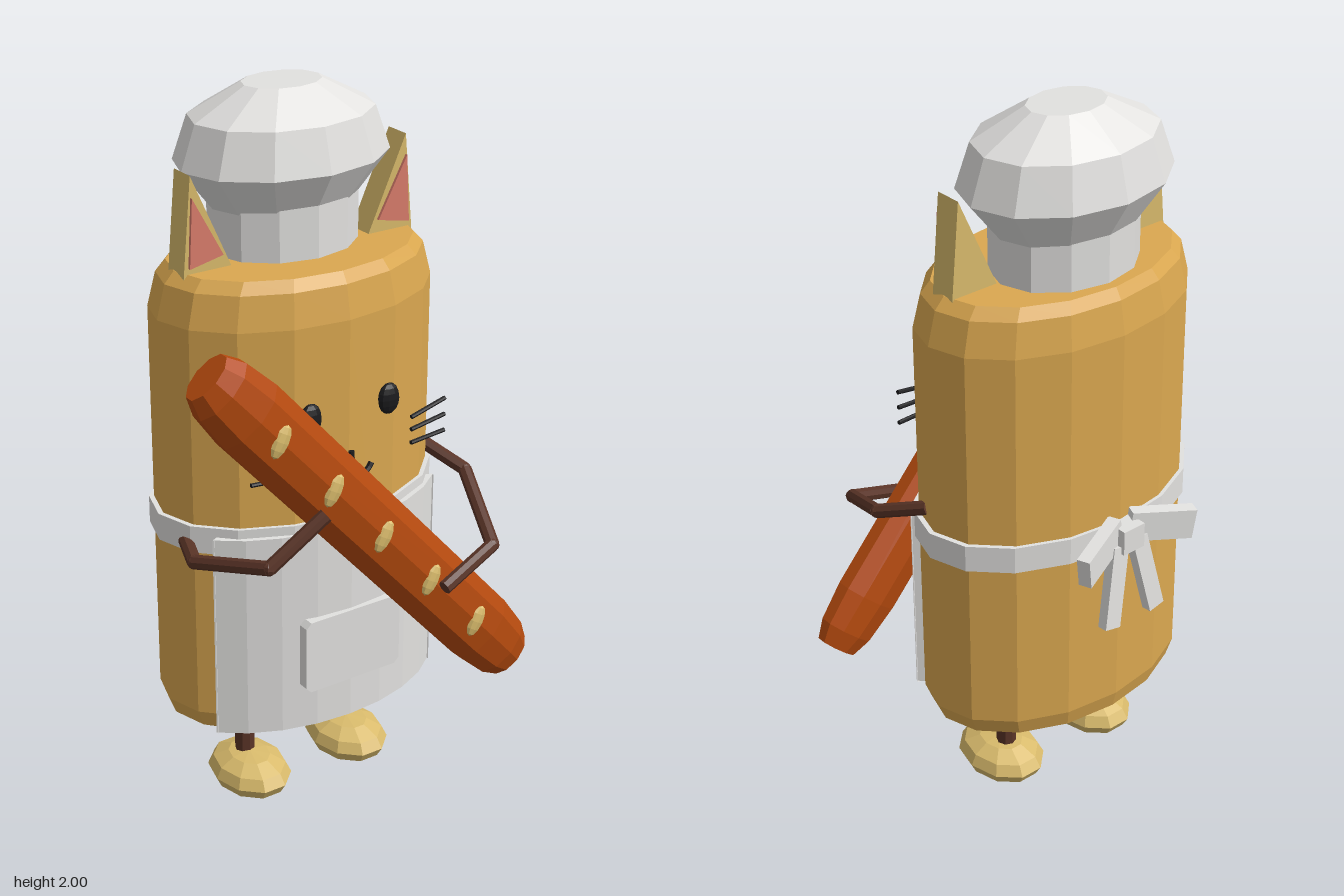
import * as THREE from 'three';

const paint = (name, color, side = THREE.FrontSide) => {
  const m = new THREE.MeshStandardMaterial({ color, flatShading: true, side });
  m.name = name;
  return m;
};

export function createModel() {
  const fur = paint('golden fur', 0xdba850);
  const pale = paint('pale tan', 0xd9bb6c);
  const pink = paint('inner ear pink', 0xd97c6c);
  const white = paint('cloth white', 0xe2e1df, THREE.DoubleSide);
  const crust = paint('bread crust', 0xb54a0e);
  const brown = paint('limb brown', 0x5a3427);
  const black = paint('face black', 0x1b1b1d);

  const model = new THREE.Group();
  model.name = 'chefCat';
  const V = (x, y, z) => new THREE.Vector3(x, y, z);

  function add(name, geo, mat, pos = [0, 0, 0], rot = [0, 0, 0], parent = model) {
    const mesh = new THREE.Mesh(geo, mat);
    mesh.name = name;
    mesh.position.set(...pos);
    mesh.rotation.set(...rot);
    parent.add(mesh);
    return mesh;
  }
  // Oval lathe: profile radii are multiplied by sx and sz
  function oval(profile, sx, sz, sides, start = 0, sweep = Math.PI * 2) {
    const pts = profile.map(([r, y]) => new THREE.Vector2(r, y));
    return new THREE.LatheGeometry(pts, sides, start, sweep).scale(sx, 1, sz);
  }
  const ball = (rx, ry, rz, w = 10, h = 8) => new THREE.SphereGeometry(1, w, h).scale(rx, ry, rz);
  // Straight rod between two points
  function rod(name, a, b, r, mat, parent = model) {
    const d = b.clone().sub(a);
    const m = add(name, new THREE.CylinderGeometry(r, r, d.length(), 8), mat, [0, 0, 0], [0, 0, 0], parent);
    m.position.copy(a).add(b).multiplyScalar(0.5);
    m.quaternion.setFromUnitVectors(V(0, 1, 0), d.normalize());
  }
  function triangle(points, depth) {
    const s = new THREE.Shape(points.map(([x, y]) => new THREE.Vector2(x, y)));
    return new THREE.ExtrudeGeometry(s, { depth, bevelEnabled: false });
  }

  // Body
  const bodyZ = -0.065;
  add('body', oval([[0, 0.28], [0.82, 0.28], [0.95, 0.31], [1, 0.36], [1, 1.46], [0.94, 1.55],
    [0.87, 1.58], [0, 1.58]], 0.4, 0.265, 16), fur, [0, 0, bodyZ]);

  // Apron: band, curved panel, pocket
  add('apronBand', oval([[0.99, 0.85], [1.035, 0.85], [1.035, 0.925], [0.99, 0.925], [0.99, 0.85]],
    0.4, 0.265, 16), white, [0, 0, bodyZ]);
  add('apronPanel', oval([[0.98, 0.32], [1.07, 0.32], [1.07, 0.9], [0.98, 0.9], [0.98, 0.32]],
    0.4, 0.265, 8, -0.96, 1.92), white, [0, 0, bodyZ]);
  // End faces of the curved panel
  for (const s of [-1, 1]) {
    add('apronEdge', new THREE.PlaneGeometry(0.036, 0.58), white,
      [s * 0.336, 0.61, bodyZ + 0.156], [0, -s * 0.75, 0]);
  }
  const pw = 0.15, ph = 0.105, c = 0.015;
  const pocket = new THREE.Shape([[-pw + c, -ph], [pw - c, -ph], [pw, -ph + c], [pw, ph - c],
    [pw - c, ph], [-pw + c, ph], [-pw, ph - c], [-pw, -ph + c]].map(p => new THREE.Vector2(...p)));
  add('apronPocket', new THREE.ExtrudeGeometry(pocket, { depth: 0.04, bevelEnabled: false }),
    white, [0, 0.545, 0.19]);

  // Bow at the back
  add('bowKnot', new THREE.BoxGeometry(0.07, 0.07, 0.06), white, [0, 0.89, -0.355]);
  for (const s of [-1, 1]) {
    add('bowLoop', new THREE.BoxGeometry(0.18, 0.085, 0.036), white,
      [s * 0.105, 0.89, -0.37], [0, s * 0.38, -s * 0.15]);
    add('bowTail', new THREE.BoxGeometry(0.05, 0.23, 0.03), white,
      [s * 0.055, 0.76, -0.37], [0.1, 0, s * 0.2]);
  }

  // Chef hat
  add('hatBand', oval([[0, 1.56], [1, 1.56], [1, 1.73], [0, 1.73]], 0.205, 0.165, 12), white, [0, 0, -0.105]);
  add('hatPuff', oval([[0, 1.7], [0.7, 1.7], [1, 1.81], [0.86, 1.925], [0.37, 2], [0, 2]],
    0.295, 0.224, 12), white, [0, 0, -0.108]);

  for (const s of [-1, 1]) {
    // Ears, mirrored with matching winding
    const m = pts => pts.map(([x, y]) => [x * s, y]);
    add('ear', triangle(m([[0.348, 1.55], [0.322, 1.83], [0.195, 1.55]]), 0.075), pale, [0, 0, -0.095]);
    add('innerEar', triangle(m([[0.332, 1.595], [0.322, 1.775], [0.235, 1.615]]), 0.009), pink, [0, 0, -0.021]);

    // Legs and feet
    rod('leg', V(s * 0.165, 0.08, -0.06), V(s * 0.165, 0.31, -0.06), 0.028, brown);
    add('foot', ball(0.107, 0.06, 0.14, 10, 6), pale, [s * 0.165, 0.065, -0.037]);

    // Eyes, whiskers and mouth curves
    add('eye', ball(0.032, 0.043, 0.018), black, [s * 0.12, 1.22, 0.203]);
    for (const [y0, y1] of [[1.155, 1.178], [1.12, 1.132], [1.082, 1.086]]) {
      rod('whisker', V(s * 0.185, y0, 0.215), V(s * 0.3, y1, 0.205), 0.006, black);
    }
    const smile = new THREE.QuadraticBezierCurve3(V(0, 1.06, 0.218), V(s * 0.032, 1.015, 0.22), V(s * 0.06, 1.06, 0.215));
    add('mouthCurve', new THREE.TubeGeometry(smile, 6, 0.008, 6), black);
  }
  rod('mouthLine', V(0, 1.055, 0.215), V(0, 1.105, 0.21), 0.008, black);

  // Long loaf with scored cuts
  const bread = new THREE.Group();
  bread.name = 'bread';
  bread.position.set(0, 0.923, 0.298);
  bread.rotation.z = 0.731;
  model.add(bread);
  add('loaf', oval([[0, -0.715], [0.66, -0.715], [0.88, -0.66], [1, -0.55], [1, 0.55], [0.88, 0.66],
    [0.66, 0.715], [0, 0.715]], 0.104, 0.065, 10), crust, [0, 0, 0], [0, 0, 0], bread);
  for (let i = -2; i <= 2; i++) {
    add('breadCut', ball(0.024, 0.045, 0.012, 8, 6), pale, [0, i * 0.232, 0.061], [0, 0, -1.23], bread);
  }

  // Arms bent around the bread
  const arms = {
    leftArm: [V(0.375, 0.96, -0.01), V(0.435, 0.905, 0.13), V(0.35, 0.8, 0.365), V(0.175, 0.735, 0.39)],
    rightArm: [V(-0.375, 0.87, 0), V(-0.425, 0.875, 0.13), V(-0.35, 0.94, 0.365), V(-0.2, 1.055, 0.39)],
  };
  for (const [name, pts] of Object.entries(arms)) {
    const arm = new THREE.Group();
    arm.name = name;
    model.add(arm);
    for (let i = 0; i < 3; i++) {
      rod('armSegment', pts[i], pts[i + 1], 0.019, brown, arm);
      if (i) add('armJoint', ball(0.019, 0.019, 0.019, 8, 6), brown, pts[i].toArray(), [0, 0, 0], arm);
    }
  }
  return model;
}
